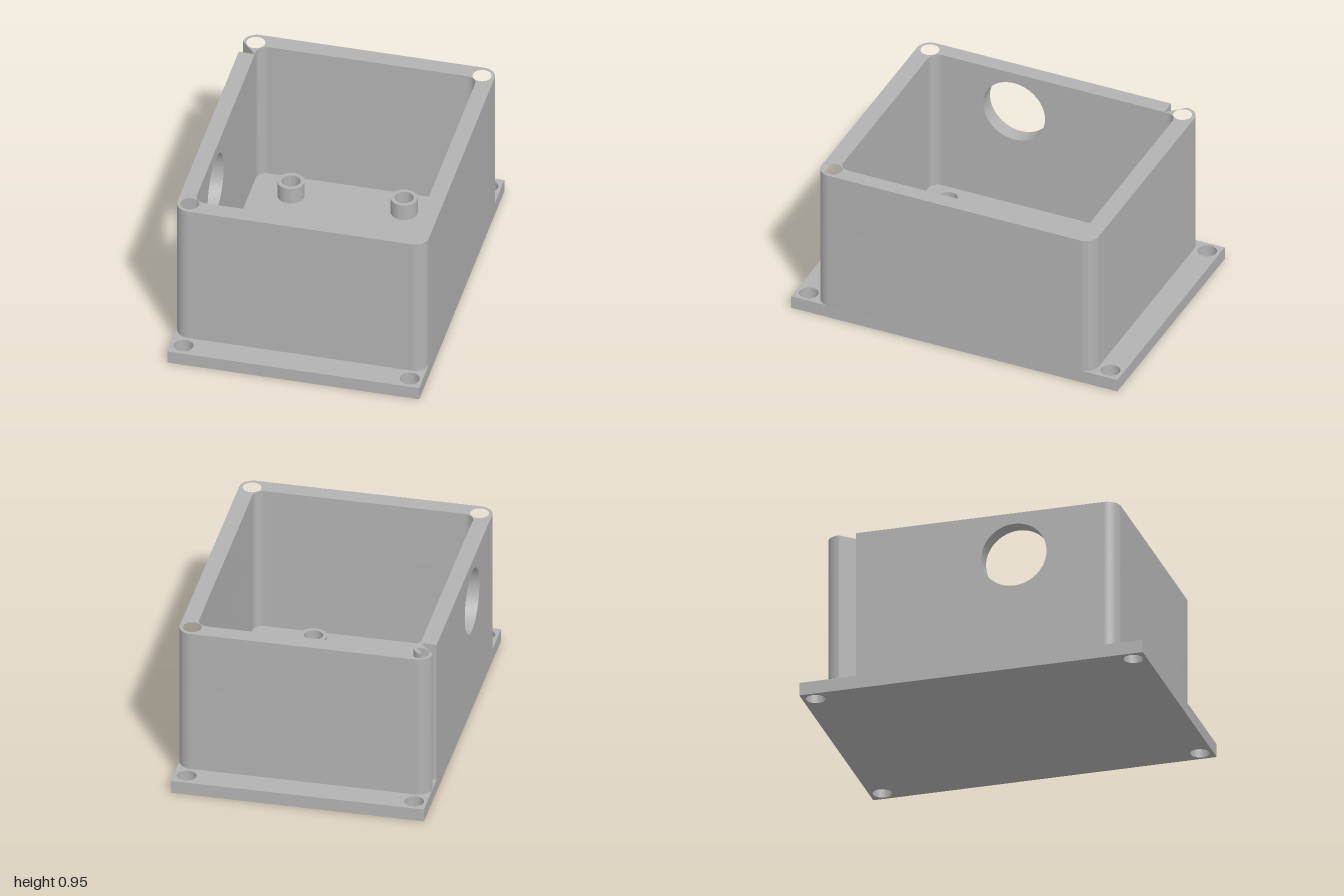
import * as THREE from 'three';
import { toCreasedNormals } from 'three/addons/utils/BufferGeometryUtils.js';

const W = 0.7225, D = 0.85, R = 0.08;      // outer half width, half depth, corner radius
const w = 0.63, d = 0.75, r = 0.06;        // inner half width, half depth, corner radius
const BASE = 0.077, TOP = 0.955;           // plate thickness, rim height
const SCREW_FLOOR = 0.6;                   // bottom of the lid screw holes
const PANEL = 0.67;                        // half length of the drilled side panel

const addHole = (shape, x, y, radius) =>
  shape.holes.push(new THREE.Path().absarc(x, y, radius, 0, Math.PI * 2, true));

const eachCorner = (x, z, fn) => {
  for (const sx of [-1, 1]) for (const sz of [-1, 1]) fn(sx * x, sz * z);
};

const extrude = (shape, depth) =>
  toCreasedNormals(new THREE.ExtrudeGeometry(shape, { depth, bevelEnabled: false, curveSegments: 24 }), 0.5);

// Extrude a plan shape (x, -z) upward from y0 to y1
const slab = (shape, y0, y1) => extrude(shape, y1 - y0).rotateX(-Math.PI / 2).translate(0, y0, 0);

// Plan of the walls, open on the -x side where the drilled panel fits
function wallPlan() {
  const s = new THREE.Shape();
  const q = Math.PI / 2;
  s.moveTo(-W, PANEL);
  s.absarc(-W + R, D - R, R, 2 * q, q, true);
  s.absarc(W - R, D - R, R, q, 0, true);
  s.absarc(W - R, -D + R, R, 0, -q, true);
  s.absarc(-W + R, -D + R, R, -q, -2 * q, true);
  s.lineTo(-W, -PANEL);
  s.lineTo(-w, -PANEL);
  s.absarc(-w + r, -d + r, r, 2 * q, 3 * q, false);
  s.absarc(w - r, -d + r, r, -q, 0, false);
  s.absarc(w - r, d - r, r, 0, q, false);
  s.absarc(-w + r, d - r, r, q, 2 * q, false);
  s.lineTo(-w, PANEL);
  return s;
}

function rectangle(x0, y0, x1, y1) {
  return new THREE.Shape([[x0, y0], [x1, y0], [x1, y1], [x0, y1]].map(p => new THREE.Vector2(...p)));
}

export function createModel() {
  const model = new THREE.Group();
  model.name = 'enclosure';
  const grey = new THREE.MeshStandardMaterial({ color: 0xb2b2b2 });
  grey.name = 'grey';
  const add = (name, geometry) => {
    const mesh = new THREE.Mesh(geometry, grey);
    mesh.name = name;
    model.add(mesh);
    return mesh;
  };

  // Mounting plate with a through hole in each corner
  const plate = rectangle(-W, -1, W, 1);
  eachCorner(0.65, 0.925, (x, z) => addHole(plate, x, z, 0.055));
  add('mountingPlate', slab(plate, 0, BASE));

  // Walls: solid below, drilled for the lid screws above
  add('lowerWalls', slab(wallPlan(), BASE, SCREW_FLOOR));
  const upper = wallPlan();
  eachCorner(0.65, 0.775, (x, z) => addHole(upper, x, z, 0.053));
  add('upperWalls', slab(upper, SCREW_FLOOR, TOP));

  // Side panel with the round cable opening
  const panel = rectangle(-PANEL, BASE, PANEL, TOP);
  addHole(panel, 0.25, 0.7, 0.19);
  add('cablePanel', extrude(panel, W - w).rotateY(-Math.PI / 2).translate(-w, 0, 0));

  // Hollow standoffs on the floor
  const ring = new THREE.Shape().absarc(0, 0, 0.076, 0, Math.PI * 2, false);
  addHole(ring, 0, 0, 0.053);
  const standoff = slab(ring, BASE, BASE + 0.1);
  for (const x of [-0.4, 0.25])
    for (const z of [-0.58, 0.55]) add('standoff', standoff).position.set(x, 0, z);

  return model;
}
